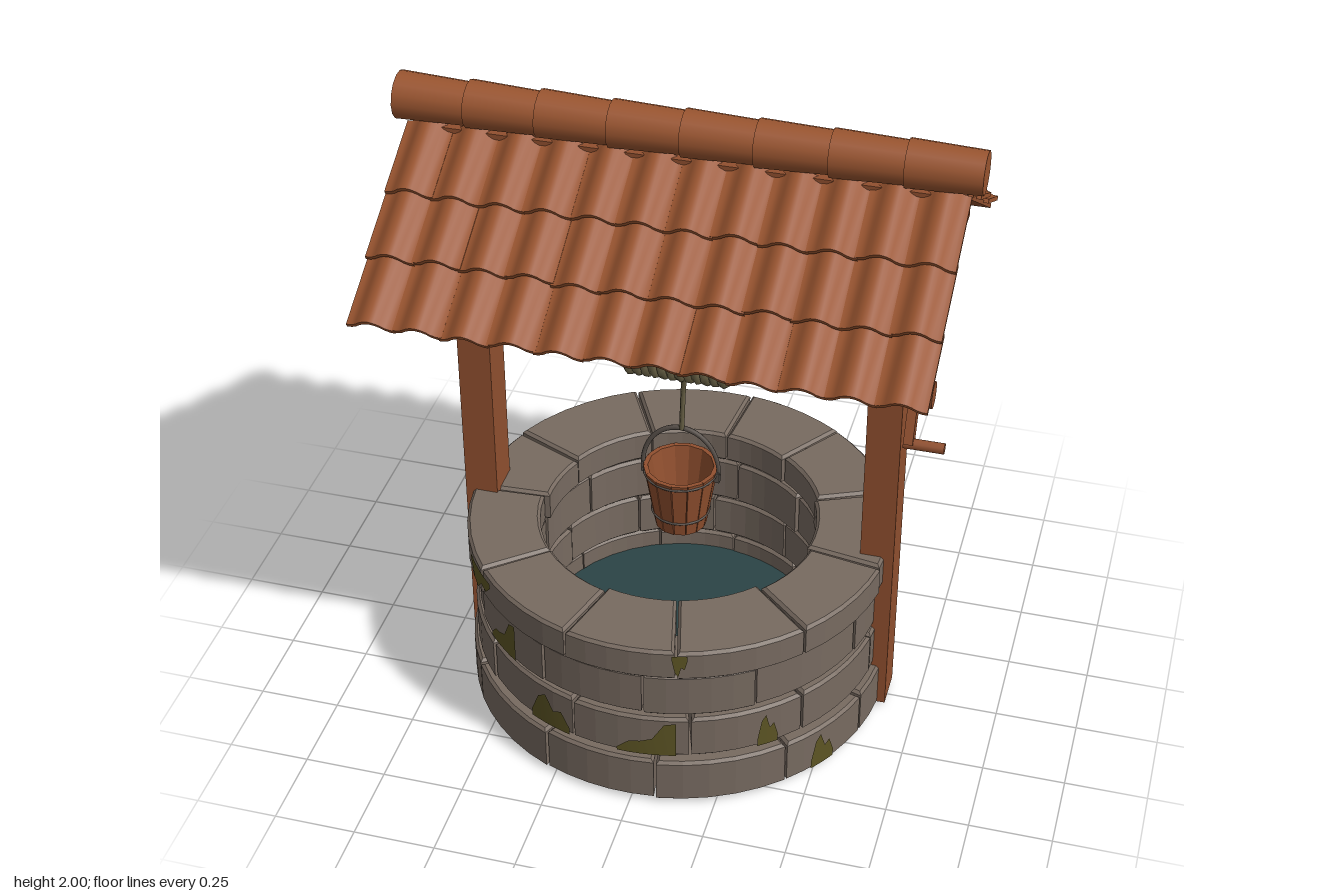
import * as THREE from 'three';

const mat = (name, color, side = THREE.FrontSide) => {
  const m = new THREE.MeshStandardMaterial({ color, side });
  m.name = name;
  return m;
};
const rad = THREE.MathUtils.degToRad;

export function createModel() {
  const wood = mat('wood', 0x91502f), tileMat = mat('clay tile', 0x9a5530);
  const stone = mat('stone', 0x776a60), moss = mat('moss', 0x5c5424, THREE.DoubleSide);
  const rope = mat('rope', 0x6c6448), metal = mat('metal', 0x58504a), water = mat('water', 0x2b4446);

  const model = new THREE.Group();
  model.name = 'well';
  let seed = 7;
  const rnd = () => ((seed = (seed * 16807) % 2147483647) / 2147483647) - 0.5;

  const add = (parent, name, geo, material, x = 0, y = 0, z = 0) => {
    const m = new THREE.Mesh(geo, material);
    m.name = name;
    m.position.set(x, y, z);
    parent.add(m);
    return m;
  };
  const group = (name, x = 0, y = 0, z = 0) => {
    const g = new THREE.Group();
    g.name = name;
    g.position.set(x, y, z);
    model.add(g);
    return g;
  };
  const box = (parent, name, w, h, d, x, y, z, material = wood) =>
    add(parent, name, new THREE.BoxGeometry(w, h, d), material, x, y, z);
  // Square bar between two points in a plane of constant x
  const bar = (parent, name, w, t, x, y0, z0, y1, z1) => {
    const m = box(parent, name, w, t, Math.hypot(y1 - y0, z1 - z0), x, (y0 + y1) / 2, (z0 + z1) / 2);
    m.rotation.x = -Math.atan2(y1 - y0, z1 - z0);
    return m;
  };

  // Stone rings: y0, y1, outer radius, inner radius, first joint angle
  const wall = group('stoneWall', -0.02, 0, 0.002);
  const rings = [
    [0.01, 0.165, 0.652, 0.45, 8.4], [0.172, 0.322, 0.635, 0.44, -15],
    [0.33, 0.485, 0.628, 0.43, 5], [0.492, 0.6, 0.652, 0.42, 14],
  ];
  const bevel = 0.009;
  const brick = (r0, r1, a0, a1, h) => {
    const pts = [], n = 5;
    const put = (r, a) => pts.push(new THREE.Vector2(r * Math.sin(a), -r * Math.cos(a)));
    for (let i = 0; i <= n; i++) put(r1, a0 + (a1 - a0) * i / n);
    for (let i = n; i >= 0; i--) put(r0, a0 + (a1 - a0) * i / n);
    return new THREE.ExtrudeGeometry(new THREE.Shape(pts), {
      depth: h - 2 * bevel, bevelSize: bevel, bevelThickness: bevel, bevelOffset: -bevel, bevelSegments: 1,
    }).rotateX(-Math.PI / 2);
  };
  rings.forEach(([y0, y1, r1, r0, start], k) => {
    const count = 11, step = 360 / count;
    const joints = Array.from({ length: count }, () => rnd() * 7);
    for (let i = 0; i < count; i++) {
      const a0 = start + i * step + (i ? joints[i] : 0);
      const a1 = start + (i + 1) * step + (i < count - 1 ? joints[i + 1] : 0);
      add(wall, `brick${k}_${i}`, brick(r0 + rnd() * 0.02, r1 + rnd() * 0.008, rad(a0 + 0.35), rad(a1 - 0.35),
        y1 - y0 - (rnd() + 0.5) * 0.006), stone, 0, y0 + bevel, 0);
    }
  });

  // Moss patches: ring, angle range, hangs from top, column heights as share of the brick
  const patch = (k, a0, a1, fromTop, cols) => {
    const [y0, y1, r1] = rings[k], pos = [], idx = [];
    const lo = y0 + bevel, hi = y1 - bevel - 0.004, n = cols.length - 1;
    cols.forEach((c, i) => {
      const a = rad(a0 + (a1 - a0) * i / n), r = r1 + 0.006, h = (hi - lo) * c;
      const b = fromTop ? hi - h : lo, t = fromTop ? hi : lo + h;
      pos.push(r * Math.sin(a), b, r * Math.cos(a), r * Math.sin(a), t, r * Math.cos(a));
      if (i < n) idx.push(2 * i, 2 * i + 2, 2 * i + 1, 2 * i + 1, 2 * i + 2, 2 * i + 3);
    });
    const g = new THREE.BufferGeometry();
    g.setAttribute('position', new THREE.Float32BufferAttribute(pos, 3));
    g.setIndex(idx);
    g.computeVertexNormals();
    add(wall, 'mossPatch', g, moss);
  };
  const drip = [0.2, 0.75, 0.9, 0.5, 0.6, 0.2], slope = [0.1, 0.35, 0.4, 0.5, 0.95, 1];
  [[3, -58, -44, true, drip], [3, 13, 17, true, drip], [2, -49, -36, false, slope], [1, -29, -16, false, drip],
    [1, -2, 14, false, slope], [1, 36, 42, false, drip], [0, 52, 60, false, drip], [1, 92, 103, false, drip],
    [1, 120, 130, false, slope], [2, 128, 136, true, drip], [0, 146, 153, true, drip], [3, 165, 174, true, drip],
    [1, 196, 210, false, slope], [2, 222, 232, true, drip], [0, 246, 254, false, drip], [1, 262, 274, true, drip],
  ].forEach((p) => patch(...p));

  add(wall, 'water', new THREE.CylinderGeometry(0.455, 0.455, 0.1, 40), water, 0, 0.05, 0);

  // Posts, braces, rafters and beams
  const frame = group('frame');
  for (const x of [-0.643, 0.605]) {
    box(frame, 'post', 0.102, 1.675, 0.122, x, 0.8525, -0.003);
    for (const s of [-1, 1]) {
      bar(frame, 'brace', 0.06, 0.05, x, 1.36, s * 0.04, 1.585, s * 0.4);
      bar(frame, 'rafter', 0.06, 0.04, x, 1.825, s * 0.01, 1.565, s * 0.41);
    }
  }
  box(frame, 'ridgeBeam', 1.5, 0.08, 0.07, -0.015, 1.82, 0);
  for (const s of [-1, 1]) box(frame, 'purlin', 1.5, 0.07, 0.07, -0.015, 1.535, s * 0.432);

  // Roof: boards and three courses of wavy tiles on each slope
  const roof = group('roof');
  const pitch = Math.atan(0.65), cols = 12, tw = 1.61 / cols;
  const tileGeo = (len) => {
    const g = new THREE.BoxGeometry(tw + 0.008, 0.013, len, 10, 1, 1), p = g.attributes.position;
    for (let i = 0; i < p.count; i++) {
      const u = p.getX(i) / tw;
      const wave = Math.cos(u * Math.PI * 2);
      p.setY(i, p.getY(i) + 0.016 * Math.sign(wave) * Math.abs(wave) ** 0.8);
    }
    g.computeVertexNormals();
    return g;
  };
  for (const s of [-1, 1]) {
    bar(roof, 'roofBoard', 1.59, 0.014, -0.0075, 1.85, 0, 1.85 - 0.65 * 0.525, s * 0.525);
    for (let c = 0; c < 3; c++) {
      for (let i = 0; i < cols; i++) {
        const z = 0.122 + c * 0.172 + 0.012 * 0.5 * rnd() + 0.5 * (0.17 - 0.172);
        const t = add(roof, 'roofTile', tileGeo(0.238), tileMat,
          -0.8125 + (i + 0.5) * tw, 1.887 - 0.65 * z + 0.004 * rnd(), s * (z + 0.002 + (c === 2 ? -0.002 : 0)));
        t.rotation.x = s * (pitch - 0.085);
        t.rotation.z = rnd() * 0.03;
      }
    }
  }
  // Tapered ridge caps
  for (let i = 0; i < 8; i++) {
    const cap = add(roof, 'ridgeCap', new THREE.CylinderGeometry(0.063, 0.07, 0.216, 14), tileMat,
      -0.732 + i * 0.2085, 1.93, 0.003);
    cap.rotation.z = -Math.PI / 2 + rnd() * 0.02;
  }

  // Windlass: axle, wound rope and crank
  const windlass = group('windlass', 0, 1.175, 0);
  add(windlass, 'axle', new THREE.CylinderGeometry(0.041, 0.041, 1.46, 16), wood, 0.005).rotation.z = Math.PI / 2;
  const turns = 12;
  const coil = Array.from({ length: turns * 16 + 1 }, (_, i) => {
    const a = i / 16 * Math.PI * 2;
    return new THREE.Vector3(-0.172 + 0.31 * i / (turns * 16), 0.062 * Math.cos(a), 0.062 * Math.sin(a));
  });
  add(windlass, 'ropeCoil', new THREE.TubeGeometry(new THREE.CatmullRomCurve3(coil), turns * 18, 0.0145, 6), rope);
  add(windlass, 'ropeCore', new THREE.CylinderGeometry(0.056, 0.056, 0.31, 16), rope, -0.017).rotation.z = Math.PI / 2;
  bar(windlass, 'crankArm', 0.028, 0.045, 0.68, 0.015, -0.005, -0.14, 0.06);
  add(windlass, 'crankHandle', new THREE.CylinderGeometry(0.017, 0.017, 0.12, 10), wood, 0.725, -0.14, 0.06)
    .rotation.z = Math.PI / 2;

  const hang = new THREE.CatmullRomCurve3([[0, 1.12, 0.03], [-0.008, 1.06, 0.012], [-0.016, 0.91, 0]]
    .map((p) => new THREE.Vector3(...p)));
  add(model, 'hangingRope', new THREE.TubeGeometry(hang, 10, 0.008, 6), rope);

  // Bucket: tapered staves, hoops, floor and arched handle
  const bucket = group('bucket', -0.02, 0.56, -0.004);
  const staves = 14, h = 0.21, rTop = 0.112, rBot = 0.078;
  const staveGeo = new THREE.BoxGeometry(1, h, 0.014);
  const sp = staveGeo.attributes.position;
  for (let i = 0; i < sp.count; i++) {
    const r = sp.getY(i) > 0 ? rTop : rBot;
    sp.setX(i, sp.getX(i) * (2 * r * Math.tan(Math.PI / staves) - 0.003));
    sp.setZ(i, sp.getZ(i) + r - 0.007);
  }
  staveGeo.computeVertexNormals();
  for (let i = 0; i < staves; i++) {
    add(bucket, 'stave', staveGeo, wood, 0, h / 2, 0).rotation.y = (i + 0.5) * Math.PI * 2 / staves;
  }
  add(bucket, 'bucketFloor', new THREE.CylinderGeometry(0.074, 0.072, 0.014, staves), wood, 0, 0.012, 0);
  for (const y of [0.05, 0.196]) {
    const r = rBot + (rTop - rBot) * y / h + 0.002;
    add(bucket, 'hoop', new THREE.TorusGeometry(r, 0.004, 6, 28), metal, 0, y, 0).rotation.x = Math.PI / 2;
  }
  const handle = add(bucket, 'handle', new THREE.TorusGeometry(0.119, 0.007, 8, 24, Math.PI), metal, 0, 0.2, 0);
  handle.scale.y = 1.27;
  for (const s of [-1, 1]) box(bucket, 'handleLug', 0.016, 0.035, 0.022, s * 0.115, 0.19, 0, metal);

  return model;
}
